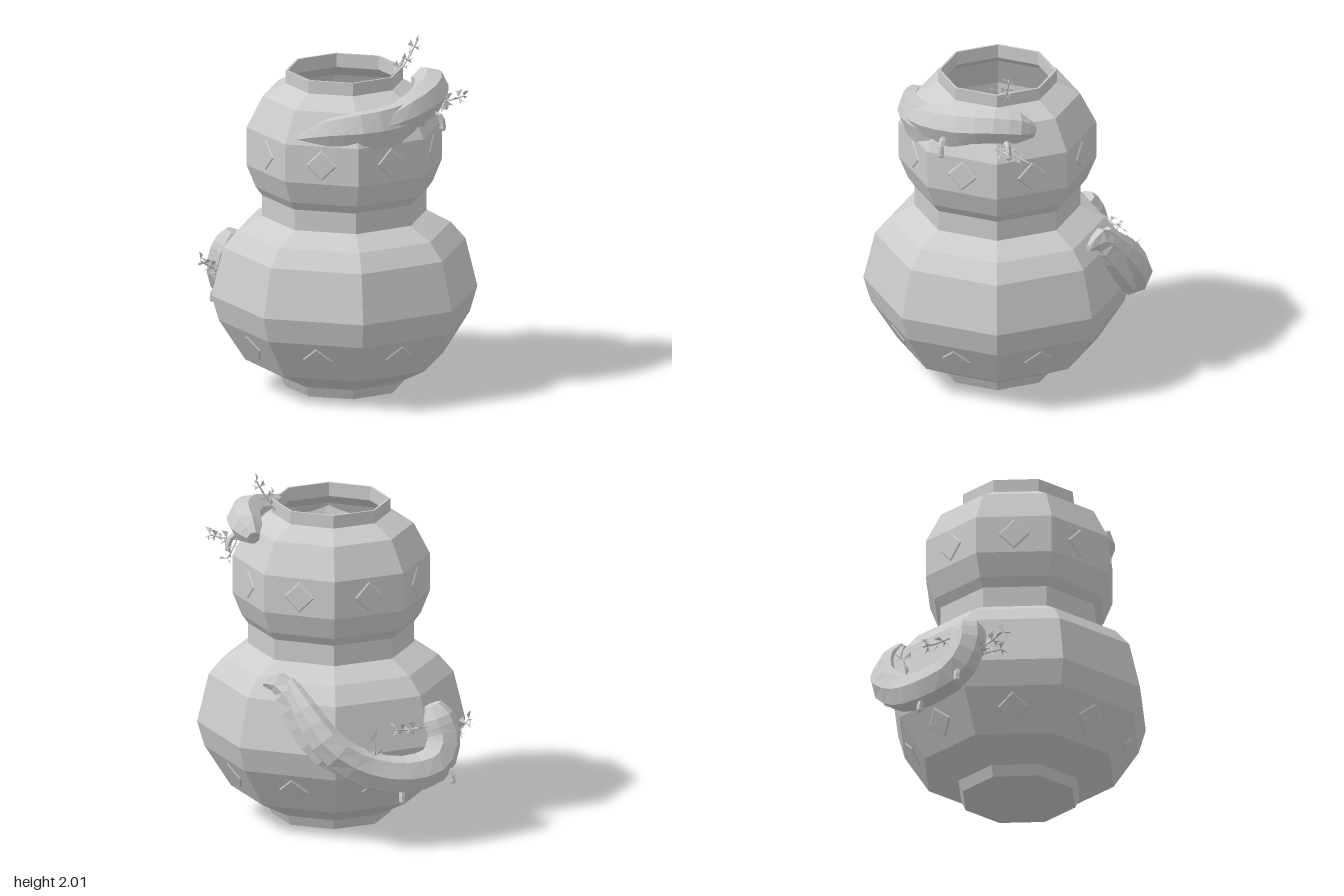
import * as THREE from 'three';

const V = (x, y, z) => new THREE.Vector3(x, y, z);
const AXIS = V(0.025, 0, 0.065); // centre line of the vase
const grey = new THREE.MeshStandardMaterial({ color: 0xcccccc, flatShading: true });
const thin = new THREE.MeshStandardMaterial({ color: 0xcccccc, flatShading: true, side: THREE.DoubleSide });

function part(name, geometry, material = grey) {
  const mesh = new THREE.Mesh(geometry, material);
  mesh.name = name;
  return mesh;
}

// Branch lofted along [x, y, z, width, thickness] stations, lying against the vase
function branch(stations, steps, sides) {
  const path = new THREE.CatmullRomCurve3(stations.map(s => V(s[0], s[1], s[2])));
  const pos = [], index = [], ring = sides + 1;
  for (let i = 0; i <= steps; i++) {
    const t = i / steps, f = t * (stations.length - 1);
    const k = Math.min(Math.floor(f), stations.length - 2), m = f - k;
    const w = THREE.MathUtils.lerp(stations[k][3], stations[k + 1][3], m);
    const d = THREE.MathUtils.lerp(stations[k][4], stations[k + 1][4], m);
    const p = path.getPoint(t), tan = path.getTangent(t);
    const out = p.clone().sub(AXIS).setY(0).normalize();
    out.addScaledVector(tan, -out.dot(tan)).normalize();
    const side = tan.clone().cross(out);
    for (let j = 0; j < ring; j++) {
      const a = j / sides * Math.PI * 2;
      const q = p.clone().addScaledVector(out, Math.cos(a) * d).addScaledVector(side, Math.sin(a) * w);
      pos.push(q.x, q.y, q.z);
      if (i < steps && j < sides) {
        const n = i * ring + j;
        index.push(n, n + 1, n + ring, n + 1, n + ring + 1, n + ring);
      }
    }
  }
  // end caps
  const last = steps * ring;
  for (let j = 1; j < sides - 1; j++) index.push(0, j + 1, j, last, last + j, last + j + 1);
  const g = new THREE.BufferGeometry();
  g.setAttribute('position', new THREE.Float32BufferAttribute(pos, 3));
  g.setIndex(index);
  g.computeVertexNormals();
  return g;
}

// Twig with alternating small folded leaves
function sprig(name, from, to, pairs, size) {
  const group = new THREE.Group();
  group.name = name;
  const mid = from.clone().lerp(to, 0.5).add(V(0, -0.015, 0));
  const curve = new THREE.QuadraticBezierCurve3(from, mid, to);
  group.add(part('twig', new THREE.TubeGeometry(curve, 5, 0.005, 4)));
  const pos = [];
  for (let i = 0; i < pairs; i++) {
    const t = 0.25 + 0.75 * i / (pairs - 1), p = curve.getPoint(t), tan = curve.getTangent(t);
    const a = V(0, 1, 0.3).cross(tan).normalize(), b = tan.clone().cross(a);
    for (const s of [-1, 1]) {
      const dir = a.clone().multiplyScalar(s).applyAxisAngle(tan, i * 1.3).addScaledVector(tan, 0.4).normalize();
      const wide = tan.clone().multiplyScalar(size * 0.45);
      const tip = p.clone().addScaledVector(dir, size);
      const c = p.clone().addScaledVector(dir, size * 0.75).addScaledVector(b, size * 0.2);
      for (const q of [p, tip.clone().add(wide), c, p, c, tip.clone().sub(wide)]) pos.push(q.x, q.y, q.z);
    }
  }
  const g = new THREE.BufferGeometry();
  g.setAttribute('position', new THREE.Float32BufferAttribute(pos, 3));
  g.computeVertexNormals();
  group.add(part('leaves', g, thin));
  return group;
}

// Short curled root stub
function stub(x, y, z, dx, dz) {
  const c = new THREE.QuadraticBezierCurve3(V(x, y, z), V(x + dx, y, z + dz), V(x + dx, y - 0.08, z + dz));
  const g = new THREE.TubeGeometry(c, 4, 0.018, 5);
  const tip = new THREE.Mesh(new THREE.IcosahedronGeometry(0.02, 0), grey);
  tip.position.set(x + dx, y - 0.08, z + dz);
  const group = new THREE.Group();
  group.name = 'rootStub';
  group.add(part('stub', g), tip);
  return group;
}

export function createModel() {
  const model = new THREE.Group();

  // Eight-sided double gourd, outside then back down the inside
  const profile = [[0, 0], [0.335, 0], [0.362, 0.06], [0.565, 0.165], [0.715, 0.4], [0.757, 0.545],
    [0.69, 0.825], [0.605, 0.925], [0.468, 1.0], [0.468, 1.12], [0.505, 1.17], [0.557, 1.3],
    [0.557, 1.52], [0.465, 1.7], [0.335, 1.77], [0.335, 1.845], [0.322, 1.845], [0.322, 1.765],
    [0.44, 1.69], [0.53, 1.51], [0.53, 1.3], [0.44, 1.13], [0.44, 0.99], [0.66, 0.81],
    [0.72, 0.545], [0.54, 0.19], [0, 0.06]];
  const vase = part('vase', new THREE.LatheGeometry(profile.map(p => new THREE.Vector2(...p)), 8));
  vase.position.copy(AXIS);
  model.add(vase);

  // Low diamond studs in the two bands
  const studs = new THREE.Group();
  studs.name = 'diamondStuds';
  const apothem = Math.cos(Math.PI / 8);
  const diamond = new THREE.CylinderGeometry(0.08, 0.1, 0.012, 4).rotateX(Math.PI / 2);
  for (let i = 0; i < 8; i++) {
    for (const [y, r, tilt] of [[0.295, 0.648, 0.535], [1.41, 0.557, 0]]) {
      const pivot = new THREE.Group();
      pivot.position.copy(AXIS);
      pivot.rotation.y = (i + 0.5) * Math.PI / 4;
      const stud = part('diamondStud', diamond);
      stud.position.set(0, y, r * apothem);
      stud.rotation.x = tilt;
      pivot.add(stud);
      studs.add(pivot);
    }
  }
  model.add(studs);

  // Upper branch with its flat trailing skirt
  const upper = new THREE.Group();
  upper.name = 'upperBranch';
  upper.add(part('upperStem', branch([
    [0.0, 1.6, 0.55, 0.01, 0.02], [0.16, 1.63, 0.54, 0.06, 0.06], [0.33, 1.67, 0.43, 0.1, 0.09],
    [0.47, 1.71, 0.26, 0.11, 0.1], [0.515, 1.73, 0.08, 0.1, 0.1], [0.5, 1.71, -0.05, 0.09, 0.09],
    [0.47, 1.68, -0.14, 0.04, 0.04]], 12, 7)));
  upper.add(part('upperSkirt', branch([
    [-0.3, 1.545, 0.45, 0.02, 0.02], [-0.13, 1.59, 0.52, 0.09, 0.06], [0.05, 1.61, 0.56, 0.12, 0.07],
    [0.24, 1.62, 0.5, 0.13, 0.07], [0.4, 1.65, 0.34, 0.11, 0.07], [0.49, 1.68, 0.15, 0.06, 0.05]], 10, 6)));
  upper.add(stub(0.5, 1.64, 0.37, 0.04, 0.01), stub(0.54, 1.66, 0.02, 0.07, -0.02));
  upper.add(sprig('upperSprig', V(0.34, 1.79, 0.02), V(0.45, 1.975, 0.0), 5, 0.04));
  upper.add(sprig('upperSprig', V(0.29, 1.79, 0.05), V(0.36, 1.88, 0.08), 3, 0.035));
  upper.add(sprig('upperSprig', V(0.54, 1.62, 0.04), V(0.71, 1.65, 0.04), 5, 0.045));
  upper.add(sprig('upperSprig', V(0.56, 1.62, 0.02), V(0.62, 1.55, -0.11), 3, 0.04));
  model.add(upper);

  // Lower branch hooking round the back
  const lower = new THREE.Group();
  lower.name = 'lowerBranch';
  lower.add(part('lowerStem', branch([
    [0.28, 0.96, -0.55, 0.03, 0.03], [0.19, 0.8, -0.66, 0.08, 0.06], [0.06, 0.62, -0.72, 0.1, 0.09],
    [-0.13, 0.48, -0.69, 0.11, 0.09], [-0.36, 0.42, -0.62, 0.11, 0.1], [-0.54, 0.46, -0.52, 0.11, 0.1],
    [-0.59, 0.59, -0.46, 0.1, 0.1], [-0.56, 0.7, -0.44, 0.1, 0.1], [-0.53, 0.78, -0.43, 0.05, 0.05]], 18, 7)));
  lower.add(part('lowerSkirt', branch([
    [0.42, 0.92, -0.45, 0.02, 0.02], [0.33, 0.93, -0.52, 0.08, 0.05], [0.22, 0.78, -0.61, 0.12, 0.06],
    [0.08, 0.6, -0.67, 0.12, 0.07], [-0.1, 0.47, -0.66, 0.08, 0.06]], 9, 6)));
  lower.add(stub(-0.36, 0.36, -0.6, 0.01, -0.06), stub(-0.58, 0.44, -0.5, -0.06, -0.04));
  lower.add(sprig('lowerSprig', V(-0.62, 0.56, -0.42), V(-0.74, 0.65, -0.3), 5, 0.045));
  lower.add(sprig('lowerSprig', V(-0.62, 0.55, -0.42), V(-0.68, 0.57, -0.29), 3, 0.04));
  lower.add(sprig('lowerSprig', V(-0.5, 0.68, -0.53), V(-0.32, 0.69, -0.63), 5, 0.045));
  lower.add(sprig('lowerSprig', V(-0.2, 0.53, -0.68), V(-0.19, 0.66, -0.7), 2, 0.05));
  model.add(lower);

  return model;
}
